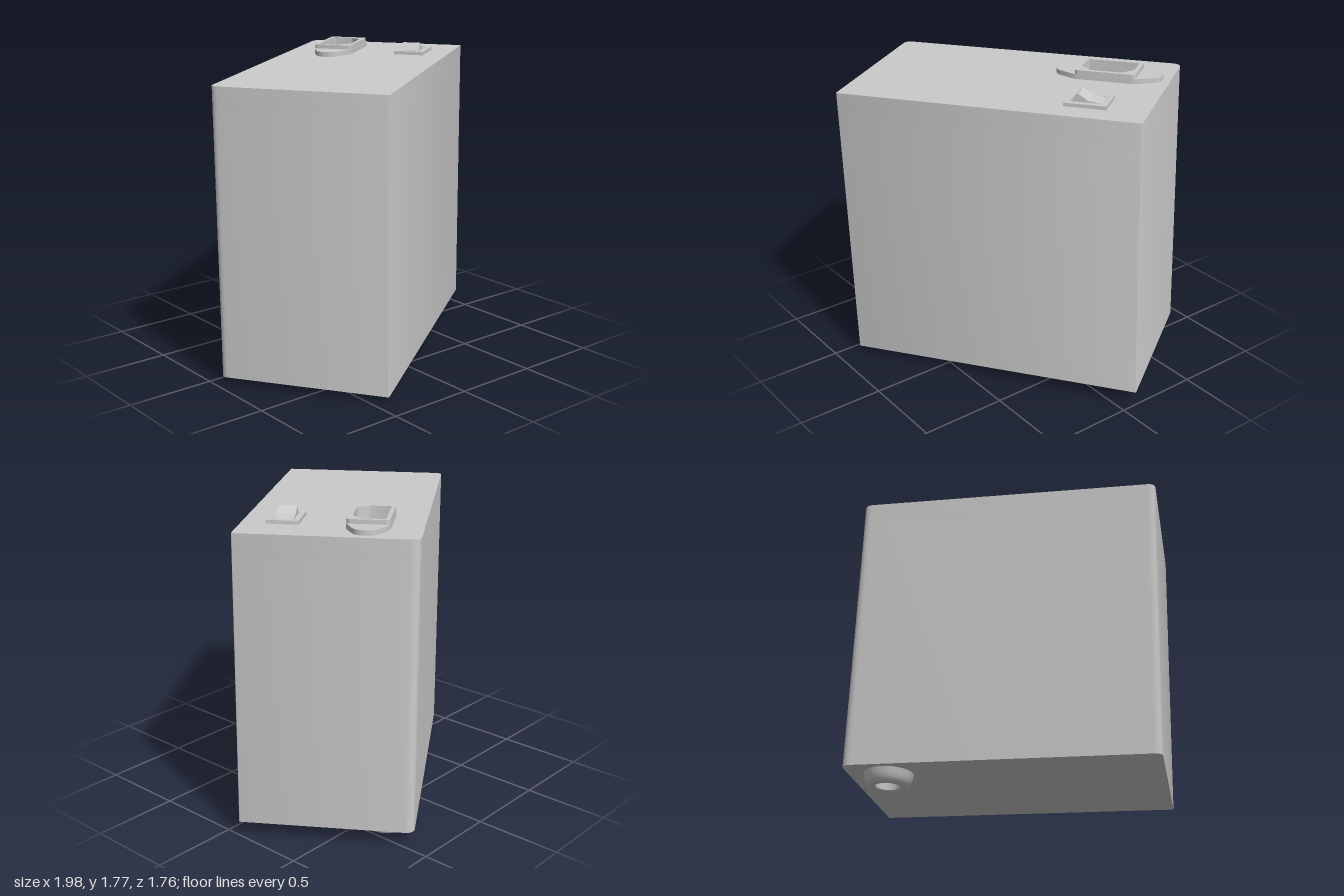
import * as THREE from 'three';
import { toCreasedNormals } from 'three/addons/utils/BufferGeometryUtils.js';

const material = new THREE.MeshStandardMaterial({ color: 0xcccccc });
const L = 1.723, H = 1.63, W = 0.965, TOP = H / 2;

// Closed outline from [x, y, cornerRadius] points, running counter-clockwise.
function outline(points, dx = 0, dy = 0, Type = THREE.Shape) {
  const path = new Type();
  const n = points.length;
  points.forEach(([x, y, r = 0], i) => {
    const c = new THREE.Vector2(x + dx, y + dy);
    const toward = (p) => {
      const d = new THREE.Vector2(p[0] + dx, p[1] + dy).sub(c);
      return c.clone().add(d.setLength(Math.min(r, d.length() / 2)));
    };
    const a = toward(points[(i + n - 1) % n]);
    const b = toward(points[(i + 1) % n]);
    if (i === 0) path.moveTo(a.x, a.y); else path.lineTo(a.x, a.y);
    if (r > 0) path.quadraticCurveTo(c.x, c.y, b.x, b.y);
  });
  path.closePath();
  return path;
}

const rect = (hx, hy, r = 0) => [[-hx, -hy, r], [hx, -hy, r], [hx, hy, r], [-hx, hy, r]];

// Horizontal slab: the outline's y axis points to -z, thickness rises from y.
function slab(name, shape, y, height) {
  const extruded = new THREE.ExtrudeGeometry(shape, { depth: height, bevelEnabled: false, curveSegments: 8 });
  const mesh = new THREE.Mesh(toCreasedNormals(extruded, 0.5), material);
  mesh.name = name;
  mesh.rotation.x = -Math.PI / 2;
  mesh.position.y = y;
  return mesh;
}

export function createModel() {
  const model = new THREE.Group();
  model.name = 'powerUnit';

  // Case outline: rounded rear edges, nearly sharp front edges
  const casing = [
    [-L / 2, -W / 2, 0.008], [L / 2, -W / 2, 0.008],
    [L / 2, W / 2, 0.055], [-L / 2, W / 2, 0.045],
  ];
  // Socket opening with two cut corners
  const opening = [
    [-0.15, -0.03, 0.01], [-0.09, -0.09, 0.01], [0.09, -0.09, 0.01],
    [0.15, -0.03, 0.01], [0.15, 0.09, 0.01], [-0.15, 0.09, 0.01],
  ];
  const socket = [0.51, 0.195];
  const withOpening = (points, ...at) => {
    const shape = outline(points, ...at);
    shape.holes.push(outline(opening, ...socket, THREE.Path));
    return shape;
  };

  // Case: solid lower part and an upper part with the socket recess
  const recess = 0.12;
  model.add(slab('caseLower', outline(casing), -TOP, H - recess));
  model.add(slab('caseUpper', withOpening(casing), TOP - recess, recess));

  // Socket: pointed mounting flange and raised collar
  const flange = [
    [-0.305, -0.05, 0.045], [-0.175, -0.115, 0.03], [0.175, -0.115, 0.03], [0.305, -0.05, 0.045],
    [0.305, 0.05, 0.045], [0.175, 0.115, 0.03], [-0.175, 0.115, 0.03], [-0.305, 0.05, 0.045],
  ];
  model.add(slab('socketFlange', withOpening(flange, ...socket), TOP, 0.028));
  model.add(slab('socketCollar', withOpening(rect(0.175, 0.113, 0.025), ...socket), TOP + 0.028, 0.024));

  // Switch: frame and two-sided rocker
  const frame = outline(rect(0.118, 0.088), 0.518, -0.26);
  frame.holes.push(outline(rect(0.088, 0.056), 0.518, -0.26, THREE.Path));
  model.add(slab('switchFrame', frame, TOP, 0.02));
  const profile = outline([[-0.085, 0], [0.085, 0], [0.085, 0.018], [0.01, 0.028], [-0.045, 0.064], [-0.08, 0.022]]);
  const rocker = new THREE.Mesh(
    new THREE.ExtrudeGeometry(profile, { depth: 0.104, bevelEnabled: false }), material);
  rocker.name = 'switchRocker';
  rocker.position.set(0.518, TOP, 0.208);
  model.add(rocker);

  // Foot: tapered round bumper with a hollow centre
  const footProfile = [
    [0, -0.015], [0.065, -0.015], [0.068, -0.068], [0.076, -0.075], [0.098, -0.075],
    [0.115, -0.068], [0.126, -0.05], [0.132, -0.025], [0.138, 0],
  ].map(([r, y]) => new THREE.Vector2(r, y));
  const foot = new THREE.Mesh(
    toCreasedNormals(new THREE.LatheGeometry(footProfile, 32), 0.7),
    new THREE.MeshStandardMaterial({ color: 0xcccccc, side: THREE.DoubleSide }));
  foot.name = 'foot';
  foot.position.set(0.64, -TOP, -0.31);
  model.add(foot);

  // The unit stands turned and leans slightly
  model.rotation.set(0, THREE.MathUtils.degToRad(33.7), 0.025, 'YXZ');
  model.position.y = 0.875;
  const root = new THREE.Group();
  root.name = 'model';
  root.add(model);
  return root;
}
